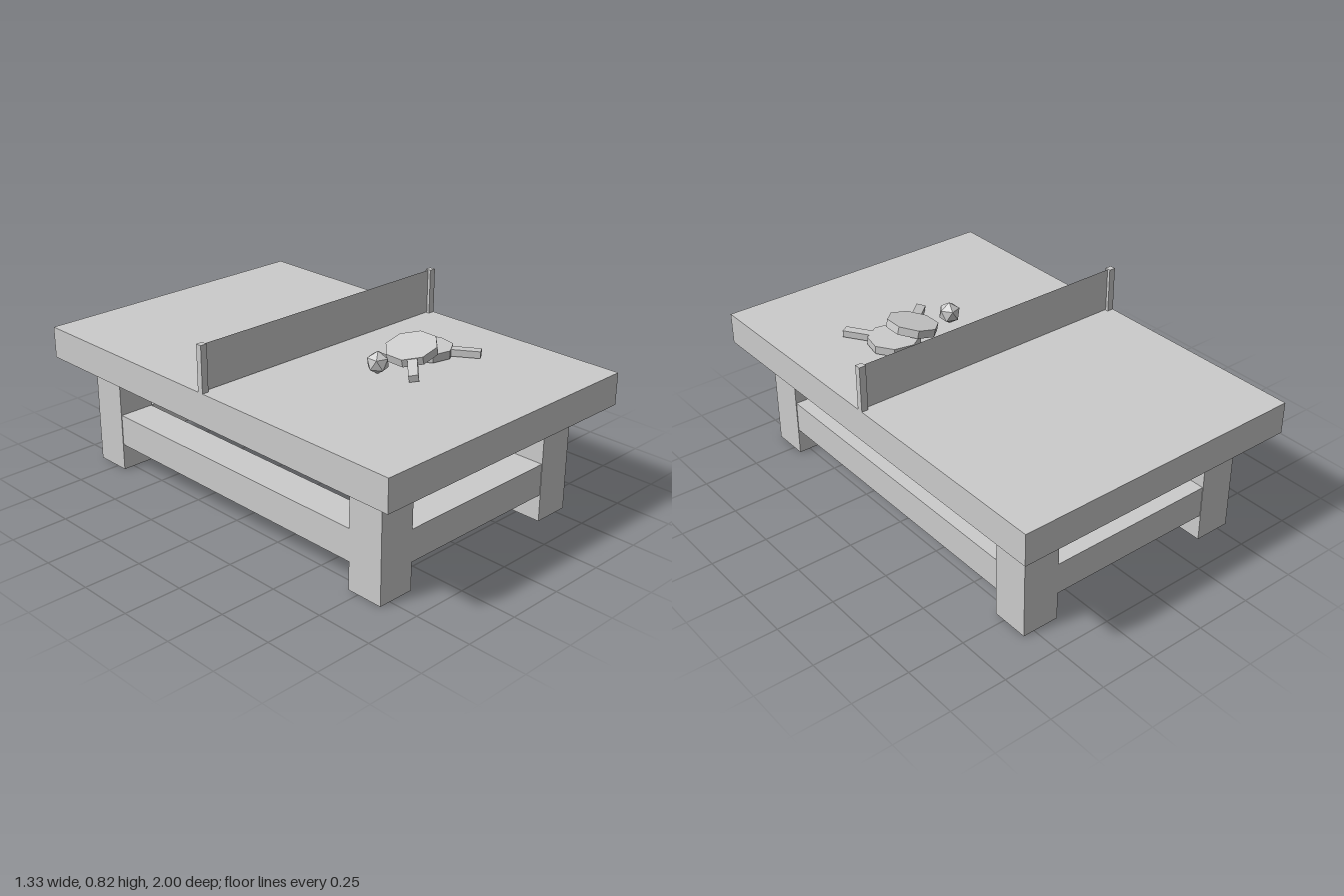
import * as THREE from 'three';

const material = new THREE.MeshStandardMaterial({ color: 0xcccccc, flatShading: true });
const thinMaterial = new THREE.MeshStandardMaterial({ color: 0xcccccc, side: THREE.DoubleSide });

function add(parent, name, geometry, x = 0, y = 0, z = 0, mat = material) {
  const mesh = new THREE.Mesh(geometry, mat);
  mesh.name = name;
  mesh.position.set(x, y, z);
  parent.add(mesh);
  return mesh;
}

const box = (w, h, d) => new THREE.BoxGeometry(w, h, d);

// Octagonal blade with a handle leaving from the middle of one edge (+x)
function createPaddle(name) {
  const paddle = new THREE.Group();
  paddle.name = name;
  add(paddle, 'paddleBlade', new THREE.CylinderGeometry(0.112, 0.112, 0.035, 8).rotateY(Math.PI / 8));
  add(paddle, 'paddleHandle', box(0.13, 0.03, 0.04), 0.16, 0, 0);
  return paddle;
}

export function createModel() {
  const model = new THREE.Group();
  model.name = 'tableTennisTable';

  // Table top
  add(model, 'tableTop', box(1.33, 0.14, 2), 0, 0.55, 0);

  // Legs, stretchers and net posts, mirrored
  for (const s of [-1, 1]) {
    for (const t of [-1, 1]) add(model, 'leg', box(0.165, 0.48, 0.165), s * 0.468, 0.24, t * 0.783);
    add(model, 'sideStretcher', box(0.16, 0.14, 1.4), s * 0.468, 0.19, 0);
    add(model, 'endStretcher', box(0.772, 0.14, 0.16), 0, 0.19, s * 0.783);
    add(model, 'netPost', box(0.03, 0.2, 0.027), s * 0.65, 0.72, 0);
  }

  // Net
  add(model, 'net', new THREE.PlaneGeometry(1.28, 0.195), 0, 0.72, 0, thinMaterial);

  // Faceted ball standing on one vertex
  const upright = -Math.atan(2 / (1 + Math.sqrt(5)));
  add(model, 'ball', new THREE.IcosahedronGeometry(0.049, 0).rotateZ(upright), -0.033, 0.669, 0.34);

  // One paddle lies flat, the other leans on it
  const flat = createPaddle('flatPaddle');
  flat.position.set(0.262, 0.643, 0.335);
  flat.rotation.y = -THREE.MathUtils.degToRad(57);
  model.add(flat);

  const leaning = createPaddle('leaningPaddle');
  leaning.position.set(0.16, 0.675, 0.345);
  leaning.rotation.set(0, -THREE.MathUtils.degToRad(136), 0.24, 'ZYX');
  model.add(leaning);

  return model;
}
